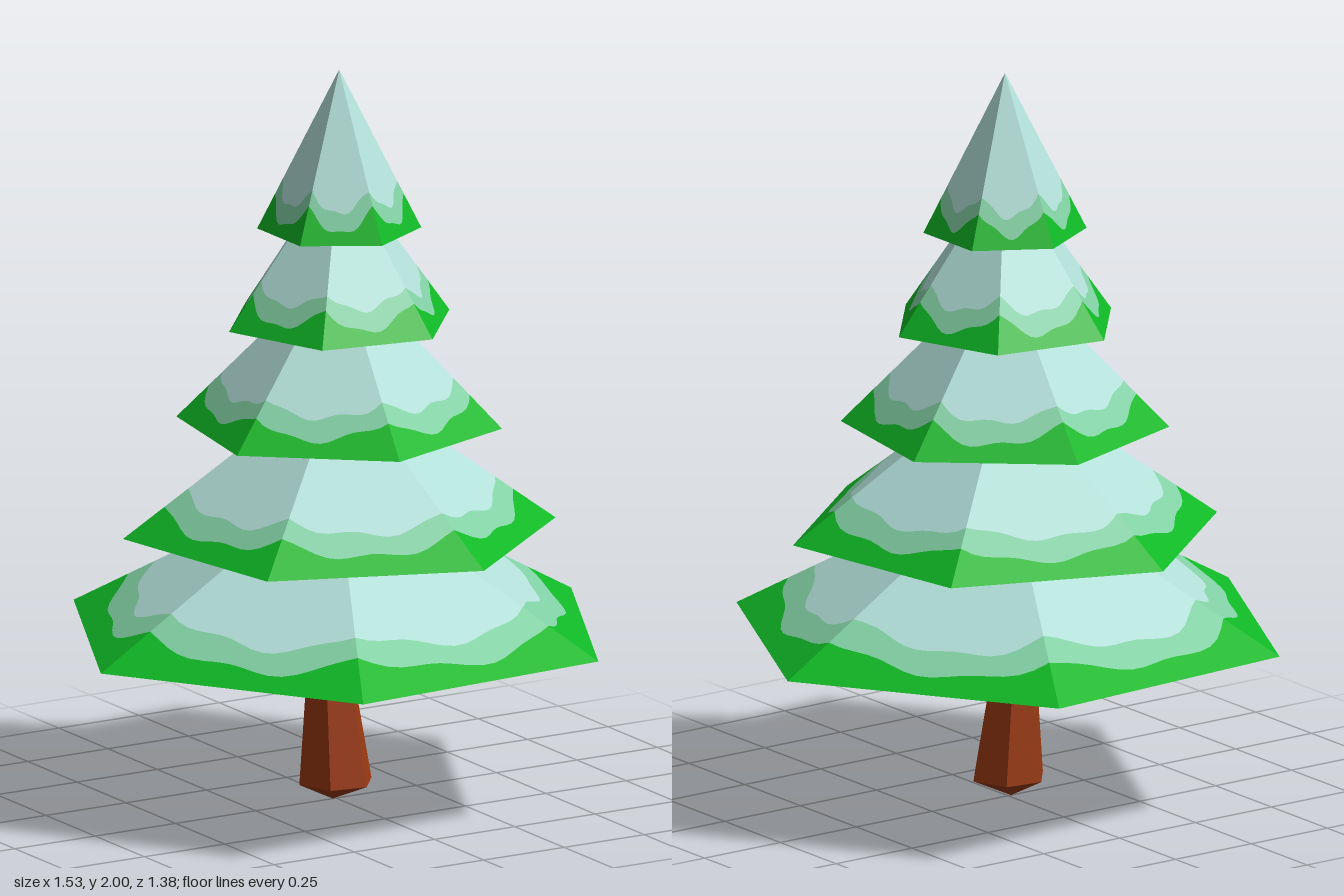
import * as THREE from 'three';

const mat = (name, color) => Object.assign(new THREE.MeshStandardMaterial({ color, flatShading: true }), { name });

// Non-indexed geometry from a flat list of points
function facets(points) {
  const g = new THREE.BufferGeometry();
  g.setAttribute('position', new THREE.Float32BufferAttribute(points.flat(), 3));
  g.computeVertexNormals();
  return g;
}

// Joins two corners of an inner edge to two of an outer edge; up chooses the facing
function quad(out, in1, out1, out2, in2, up) {
  if (up) out.push(in1, in2, out2, in1, out2, out1);
  else out.push(in1, out1, out2, in1, out2, in2);
}

export function createModel() {
  const green = mat('needle green', 0x10b826);
  const mint = mat('thin snow', 0x82d0a4);
  const snow = mat('snow', 0xb2dfd8);
  const frost = mat('underside frost', 0x92a6a2);
  const bark = mat('bark brown', 0x9a3a12);
  const model = new THREE.Group();
  model.name = 'snowyPine';

  // Tiers: base height, corner radius, cone height, turn in degrees, centre x
  const tiers = [
    [0.46, 0.766, 0.43, -3.9, 0],
    [0.74, 0.585, 0.43, 20.5, 0.01],
    [1.03, 0.437, 0.45, -20.1, 0.01],
    [1.31, 0.315, 0.44, 9.7, 0.01],
    [1.565, 0.218, 0.435, 30, 0.01],
  ];
  const N = 96;

  tiers.forEach(([y0, R, H, turn, cx], t) => {
    const tier = new THREE.Group();
    tier.name = 'tier' + (t + 1);
    const rot = THREE.MathUtils.degToRad(turn);

    // Distance from the axis to the hexagonal rim
    const rim = a => {
      const m = a % (Math.PI / 3);
      return R * Math.cos(Math.PI / 6) / Math.cos(m - Math.PI / 6);
    };
    // Wavy snow lines on top, round ones below
    const wave = a => 0.011 * Math.sin(6 * a + t) + 0.012 * Math.sin(13 * a + 2 * t);
    const topEdges = [() => 0, a => R * (0.70 + wave(a)), a => R * (0.795 + wave(a + 0.1)), rim];
    const underEdges = [() => 0, () => R * 0.73, () => R * 0.8, rim];
    const point = (a, r, up) => [
      cx + r * Math.cos(a + rot), y0 + (up ? H * (1 - r / rim(a)) : 0), r * Math.sin(a + rot)];

    const addBand = (name, edges, k, up, material) => {
      const pts = [];
      for (let i = 0; i < N; i++) {
        const a = i / N * Math.PI * 2, b = ((i + 1) % N) / N * Math.PI * 2;
        quad(pts, point(a, edges[k](a), up), point(a, edges[k + 1](a), up),
          point(b, edges[k + 1](b), up), point(b, edges[k](b), up), up);
      }
      const mesh = new THREE.Mesh(facets(pts), material);
      mesh.name = name;
      tier.add(mesh);
    };
    ['snowCap', 'snowFringe', 'needleRim'].forEach((name, k) =>
      addBand(name, topEdges, k, true, [snow, mint, green][k]));
    ['undersideSnow', 'undersideFringe', 'undersideRim'].forEach((name, k) =>
      addBand(name, underEdges, k, false, [snow, frost, green][k]));
    model.add(tier);
  });

  // Trunk rings from the pointed foot up: centre x, y, centre z, radius
  const rings = [
    [-0.01, 0, 0, 0],
    [-0.008, 0.05, 0.01, 0.104],
    [-0.02, 0.35, 0, 0.066],
    [-0.02, 0.5, 0, 0.063],
  ];
  const sides = 6, trunk = [];
  const corner = ([x, y, z, r], i) => {
    const a = (i % sides) / sides * Math.PI * 2 + 0.15;
    return [x + r * Math.cos(a), y, z + r * Math.sin(a)];
  };
  for (let k = 0; k < rings.length - 1; k++)
    for (let i = 0; i < sides; i++)
      quad(trunk, corner(rings[k], i), corner(rings[k + 1], i),
        corner(rings[k + 1], i + 1), corner(rings[k], i + 1), false);
  const trunkMesh = new THREE.Mesh(facets(trunk), bark);
  trunkMesh.name = 'trunk';
  model.add(trunkMesh);

  return model;
}
